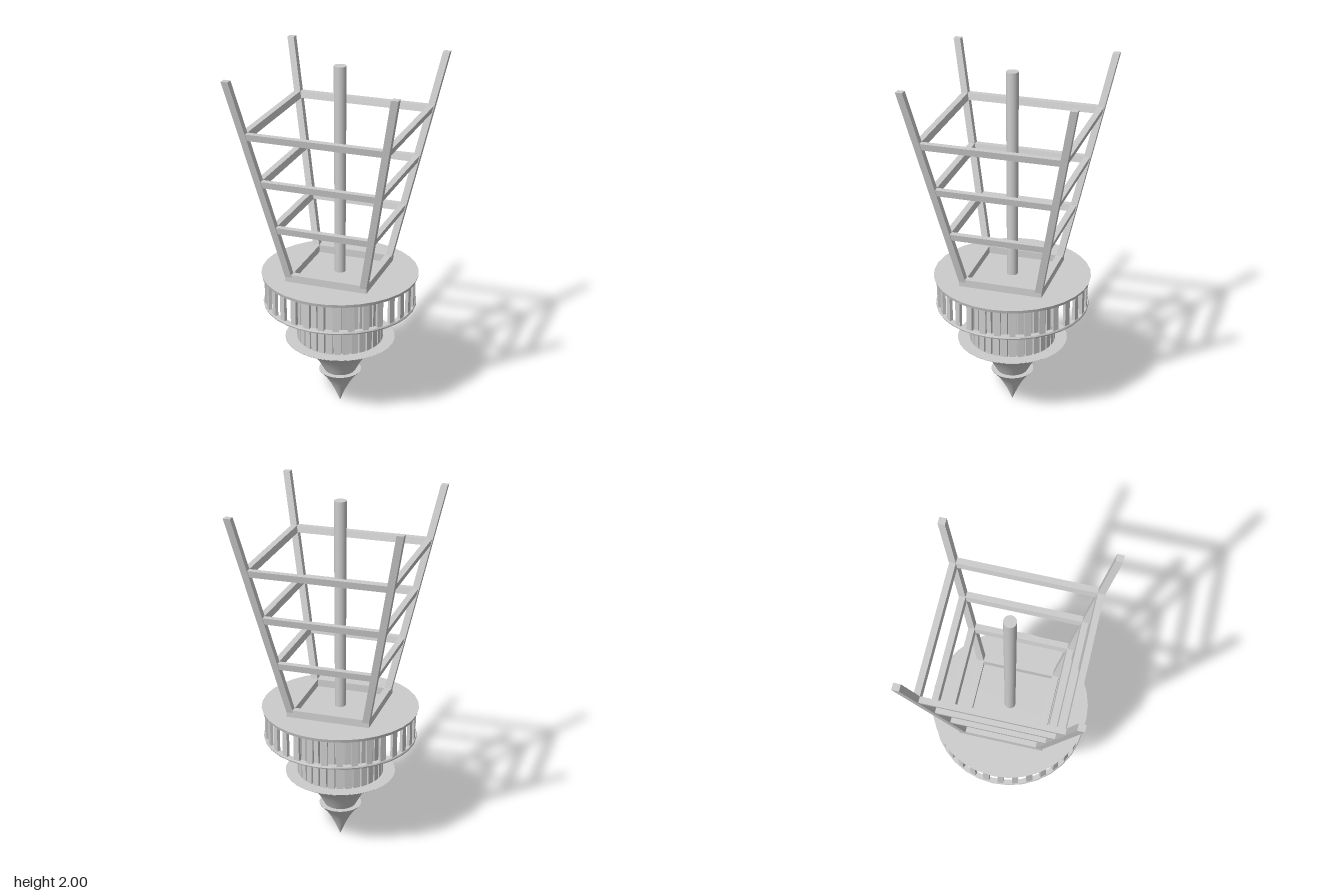
import * as THREE from 'three';

const material = new THREE.MeshStandardMaterial({ color: 0xcccccc, side: THREE.DoubleSide });
const SLOPE = 0.205, SIDES = 32, BEAM = 0.038;
const outer = (y) => 0.228 + SLOPE * (y - 0.82); // outer half-width of the tower at height y

function add(parent, name, geometry) {
  const mesh = new THREE.Mesh(geometry, material);
  mesh.name = name;
  parent.add(mesh);
  return mesh;
}

// Mitred square frame whose sides lean outward with the legs
function frameGeometry(y0, y1, half, width, slope) {
  const square = (path, s) => path.moveTo(-s, -s).lineTo(s, -s).lineTo(s, s).lineTo(-s, s).closePath();
  const shape = square(new THREE.Shape(), half);
  shape.holes.push(square(new THREE.Path(), half - width));
  const g = new THREE.ExtrudeGeometry(shape, { depth: y1 - y0, bevelEnabled: false });
  g.rotateX(-Math.PI / 2).translate(0, y0, 0);
  const p = g.attributes.position;
  for (let i = 0; i < p.count; i++) {
    const shift = slope * (p.getY(i) - y0);
    p.setX(i, p.getX(i) + Math.sign(p.getX(i)) * shift);
    p.setZ(i, p.getZ(i) + Math.sign(p.getZ(i)) * shift);
  }
  g.computeVertexNormals();
  return g;
}

// Square leg sheared outward along its diagonal
function legGeometry(sx, sz, y0, y1) {
  const g = new THREE.BoxGeometry(BEAM, y1 - y0, BEAM).toNonIndexed();
  g.translate(0, (y0 + y1) / 2, 0);
  const p = g.attributes.position;
  for (let i = 0; i < p.count; i++) {
    const c = outer(p.getY(i)) - BEAM / 2;
    p.setX(i, p.getX(i) + sx * c);
    p.setZ(i, p.getZ(i) + sz * c);
  }
  g.computeVertexNormals();
  return g;
}

const lathe = (points) => new THREE.LatheGeometry(points.map(([r, y]) => new THREE.Vector2(r, y)), SIDES);

// Evenly spaced upright slats around a circle
function slats(parent, name, radius, y0, y1, width, depth) {
  const group = new THREE.Group();
  group.name = name + 's';
  const g = new THREE.BoxGeometry(width, y1 - y0, depth);
  for (let i = 0; i < SIDES; i++) {
    const a = ((i + 0.5) / SIDES) * Math.PI * 2;
    const m = add(group, name, g);
    m.position.set(Math.sin(a) * radius, (y0 + y1) / 2, Math.cos(a) * radius);
    m.rotation.y = a;
  }
  parent.add(group);
}

export function createModel() {
  const model = new THREE.Group();
  model.name = 'hangingTower';

  // Pointed base: two concave spires with flat lids
  add(model, 'lowerSpire', lathe([[0, 0], [0.012, 0.03], [0.031, 0.075], [0.055, 0.122], [0.083, 0.165], [0.12, 0.207]]));
  add(model, 'lowerSpireLid', new THREE.CylinderGeometry(0.12, 0.118, 0.003, SIDES)).position.y = 0.207;
  add(model, 'upperSpire', lathe([[0.088, 0.207], [0.105, 0.238], [0.127, 0.278], [0.158, 0.32], [0.2, 0.36], [0.25, 0.395], [0.31, 0.42]]));
  add(model, 'upperSpireLid', new THREE.CylinderGeometry(0.31, 0.305, 0.004, SIDES)).position.y = 0.42;

  // Ribbed drum
  const core = new THREE.CylinderGeometry(0.226, 0.226, 0.39, SIDES).toNonIndexed();
  core.computeVertexNormals();
  add(model, 'drumCore', core).position.y = 0.615;
  slats(model, 'drumPanel', 0.232, 0.42, 0.81, 0.037, 0.02);

  // Deck, lower rail and hanging balusters
  add(model, 'deck', new THREE.CylinderGeometry(0.437, 0.432, 0.018, SIDES)).position.y = 0.814;
  const rail = lathe([[0.398, 0.64], [0.425, 0.64], [0.428, 0.648], [0.425, 0.656], [0.398, 0.656], [0.398, 0.64]]).toNonIndexed();
  rail.computeVertexNormals();
  add(model, 'lowerRail', rail);
  slats(model, 'baluster', 0.411, 0.65, 0.808, 0.034, 0.018);

  // Central pole
  add(model, 'pole', new THREE.CylinderGeometry(0.034, 0.03, 1.18, 24)).position.y = 1.41;

  // Open tower: footing frame, four leaning legs and three tie frames
  add(model, 'footingFrame', frameGeometry(0.82, 0.865, 0.234, BEAM, 0));
  for (const sx of [-1, 1]) for (const sz of [-1, 1]) add(model, 'leg', legGeometry(sx, sz, 0.84, 2));
  for (const y of [1.122, 1.398, 1.673]) {
    add(model, 'tieFrame', frameGeometry(y, y + 0.037, outer(y) - 0.004, BEAM - 0.004, SLOPE));
  }
  return model;
}
